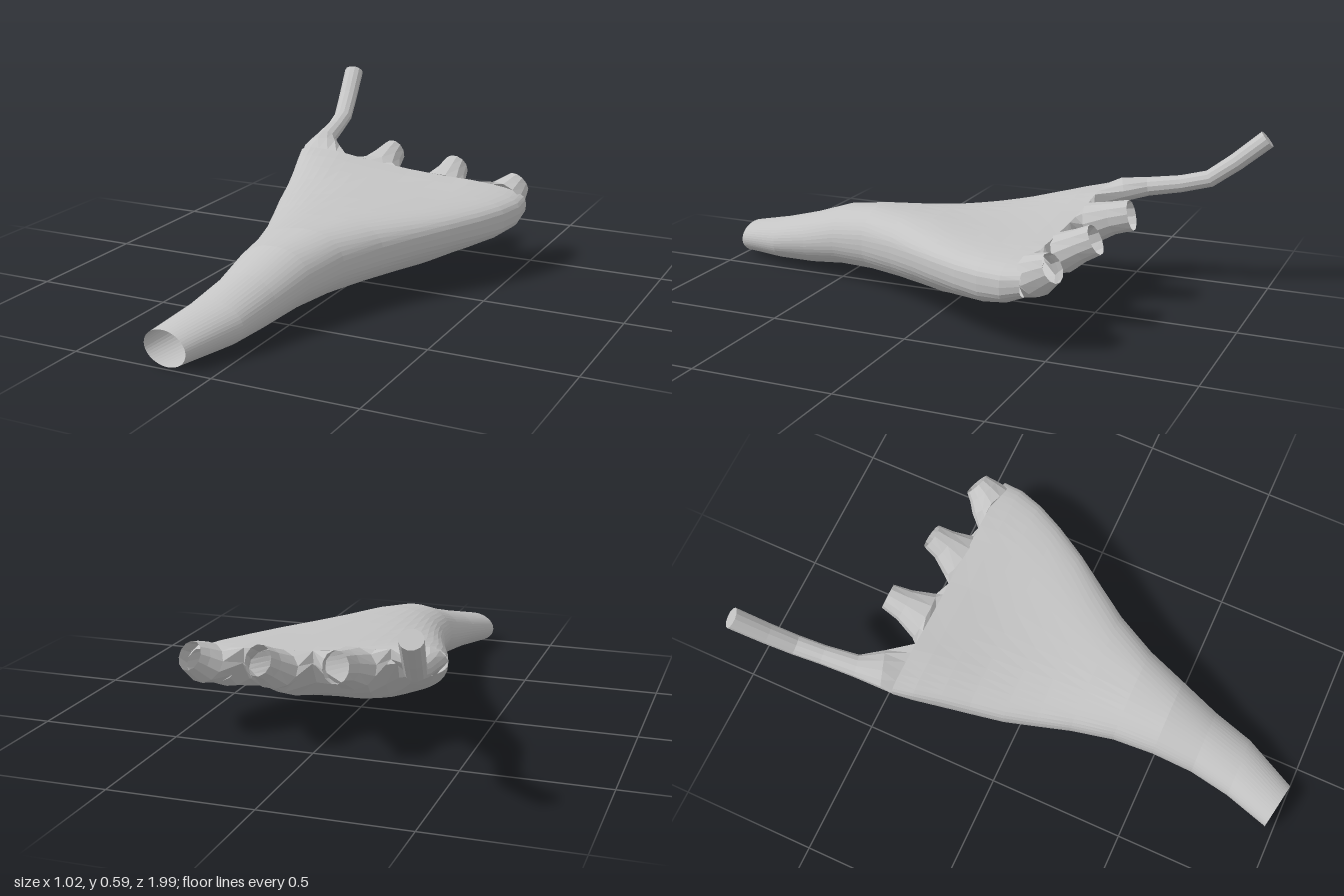
import * as THREE from 'three';

const tissue = new THREE.MeshStandardMaterial({ color: 0xc4c4c4, flatShading: true, side: THREE.DoubleSide });
tissue.name = 'pale grey';

// x of the notches between the outlets on the back rim
const NOTCHES = [-0.24, 0.03, 0.28];

// Skin a list of rings (arrays of Vector3, all the same length).
function loft(name, rings, capEnd = false) {
  const n = rings[0].length, pos = [], idx = [];
  rings.forEach(r => r.forEach(p => pos.push(p.x, p.y, p.z)));
  for (let i = 0; i < rings.length - 1; i++) {
    for (let j = 0; j < n; j++) {
      const a = i * n + j, b = i * n + (j + 1) % n, c = a + n, d = b + n;
      idx.push(a, c, b, b, c, d);
    }
  }
  if (capEnd) {
    const last = rings[rings.length - 1], base = (rings.length - 1) * n;
    const mid = last.reduce((s, p) => s.add(p), new THREE.Vector3()).divideScalar(n);
    pos.push(mid.x, mid.y, mid.z);
    for (let j = 0; j < n; j++) idx.push(base + j, rings.length * n, base + (j + 1) % n);
  }
  const g = new THREE.BufferGeometry();
  g.setAttribute('position', new THREE.Float32BufferAttribute(pos, 3));
  g.setIndex(idx);
  g.computeVertexNormals();
  const mesh = new THREE.Mesh(g, tissue);
  mesh.name = name;
  return mesh;
}

// Smooth curve through heights at u = 0, 0.5 and 1
const arc = (a, m, b, u) => a * (1 - u) * (1 - 2 * u) + m * 4 * u * (1 - u) + b * u * (2 * u - 1);

// Point on a body section: u runs across it from 0 to 1, v from -1 (underside) to 1 (top).
function sectionPoint([z, xL, xR, topL, topM, topR, botL, botM, botR, , flute], u, v) {
  const x = xL + (xR - xL) * u;
  const top = arc(topL, topM, topR, u);
  // valleys under the rim run out between the outlets
  const groove = NOTCHES.reduce((s, c) => s + Math.exp(-(((x - c) / 0.05) ** 2)), 0);
  const bot = arc(botL, botM, botR, u) + flute * groove;
  // the narrow mouth is cut slightly askew
  const skew = z > 0.9 ? (u - 0.5) * 0.03 : 0;
  return new THREE.Vector3(x, (top + bot) / 2 + (top - bot) / 2 * v, z + skew);
}

// Whole rounded section
function bodyRing(s, n = 48) {
  const pw = v => Math.sign(v) * Math.abs(v) ** s[9];
  return Array.from({ length: n }, (_, j) => {
    const t = j / n * Math.PI * 2;
    return sectionPoint(s, (pw(Math.cos(t)) + 1) / 2, pw(Math.sin(t)));
  });
}

// The slice of a section between x0 and x1, from which one outlet grows
function sliceRing(s, x0, x1, n) {
  const h = n / 2, p = s[9];
  return Array.from({ length: n }, (_, j) => {
    const k = (j % h) / (h - 1), top = j < h;
    const x = top ? x1 + (x0 - x1) * k : x0 + (x1 - x0) * k;
    const u = (x - s[1]) / (s[2] - s[1]);
    const v = Math.max(0, 1 - Math.abs(2 * u - 1) ** (2 / p)) ** (p / 2);
    return sectionPoint(s, u, top ? v : -v);
  });
}

// Rings across a path of points [x, y, z, halfWidth, halfHeight]
function pathRings(pts, n) {
  const c = pts.map(p => new THREE.Vector3(p[0], p[1], p[2]));
  return pts.map((p, i) => {
    const dir = c[Math.min(i + 1, c.length - 1)].clone().sub(c[Math.max(i - 1, 0)]).normalize();
    const side = dir.clone().cross(new THREE.Vector3(0, 1, 0)).normalize();
    const up = side.clone().cross(dir);
    return Array.from({ length: n }, (_, j) => {
      const t = (j + 0.5) / n * Math.PI * 2;
      return c[i].clone().addScaledVector(side, Math.cos(t) * p[3]).addScaledVector(up, Math.sin(t) * p[4]);
    });
  });
}

export function createModel() {
  const group = new THREE.Group();
  group.name = 'funnelOrgan';

  // Funnel body, from the narrow open mouth to the broad back rim
  // z, xL, xR, topL, topM, topR, botL, botM, botR, roundness, flute depth
  const sections = [
    [0.982, -0.262, -0.09, 0.12, 0.12, 0.12, 0, 0, 0, 1, 0],
    [0.8, -0.22, 0.0, 0.17, 0.17, 0.17, 0.013, 0.013, 0.013, 1, 0],
    [0.65, -0.2, 0.035, 0.215, 0.215, 0.215, 0.025, 0.022, 0.025, 1, 0],
    [0.5, -0.205, 0.08, 0.26, 0.268, 0.27, 0.055, 0.045, 0.045, 0.95, 0],
    [0.35, -0.22, 0.13, 0.275, 0.29, 0.3, 0.075, 0.055, 0.055, 0.88, 0],
    [0.2, -0.257, 0.205, 0.288, 0.297, 0.312, 0.09, 0.056, 0.068, 0.82, 0],
    [0.08, -0.297, 0.285, 0.305, 0.3, 0.32, 0.1, 0.053, 0.085, 0.8, 0],
    [-0.03, -0.333, 0.36, 0.325, 0.302, 0.322, 0.11, 0.053, 0.1, 0.75, 0],
    [-0.15, -0.362, 0.43, 0.352, 0.306, 0.322, 0.135, 0.08, 0.11, 0.71, 0.005],
    [-0.25, -0.388, 0.478, 0.375, 0.312, 0.322, 0.172, 0.11, 0.118, 0.66, 0.02],
    [-0.34, -0.415, 0.505, 0.392, 0.32, 0.322, 0.22, 0.152, 0.132, 0.65, 0.045],
    [-0.41, -0.434, 0.505, 0.398, 0.326, 0.32, 0.272, 0.198, 0.162, 0.65, 0.085],
  ];
  group.add(loft('funnelBody', sections.map(s => bodyRing(s))));

  // Four outlets sharing the back rim: a long upturned duct and three short open branches
  const rim = sections[sections.length - 1], sides = 12;
  const edges = [rim[1], ...NOTCHES, rim[2]];
  const outlets = [
    { name: 'longDuct', capped: true, path: [
      [-0.372, 0.353, -0.475, 0.07, 0.042], [-0.402, 0.366, -0.56, 0.041, 0.034],
      [-0.418, 0.385, -0.68, 0.035, 0.031], [-0.432, 0.411, -0.78, 0.036, 0.031],
      [-0.452, 0.478, -0.87, 0.037, 0.032], [-0.474, 0.566, -0.972, 0.038, 0.034]] },
    { name: 'branch1', path: [
      [-0.112, 0.291, -0.445, 0.092, 0.072], [-0.112, 0.318, -0.52, 0.06, 0.058],
      [-0.112, 0.335, -0.587, 0.046, 0.055]] },
    { name: 'branch2', path: [
      [0.162, 0.261, -0.44, 0.092, 0.07], [0.168, 0.295, -0.5, 0.06, 0.058],
      [0.17, 0.32, -0.55, 0.047, 0.054]] },
    { name: 'branch3', path: [
      [0.415, 0.256, -0.432, 0.083, 0.073], [0.43, 0.278, -0.467, 0.062, 0.062],
      [0.44, 0.295, -0.497, 0.047, 0.052]] },
  ];
  outlets.forEach((o, i) => group.add(loft(o.name,
    [sliceRing(rim, edges[i], edges[i + 1], sides), ...pathRings(o.path, sides)], o.capped)));

  return group;
}
